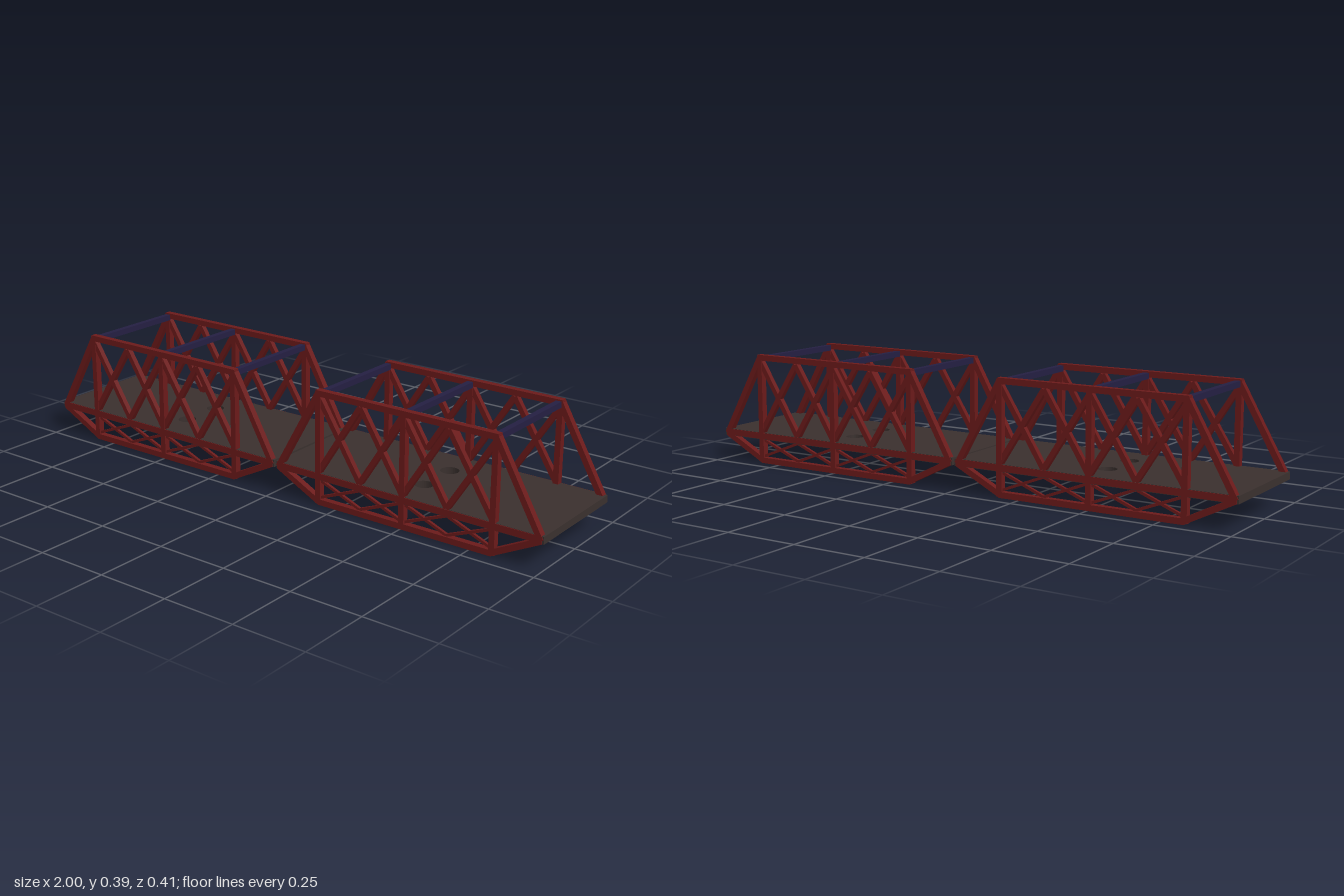
import * as THREE from 'three';

const red = new THREE.MeshStandardMaterial({ color: 0x6b1a1a });
const darkGrey = new THREE.MeshStandardMaterial({ color: 0x3a302e });
const indigo = new THREE.MeshStandardMaterial({ color: 0x241f42 });

const HALF = 0.4975;   // half length of one span
const POST = 0.325;    // outer posts, from the middle of the span
const TOP = 0.38, DECK = 0.098, LOW = 0.01;

// Square bar in the plane of a truss, between two [x, y] points
function bar(name, a, b, width = 0.02, depth = 0.022) {
  const dx = b[0] - a[0], dy = b[1] - a[1];
  const mesh = new THREE.Mesh(new THREE.BoxGeometry(Math.hypot(dx, dy), width, depth), red);
  mesh.position.set((a[0] + b[0]) / 2, (a[1] + b[1]) / 2, 0);
  mesh.rotation.z = Math.atan2(dy, dx);
  mesh.name = name;
  return mesh;
}

function createTruss() {
  const truss = new THREE.Group();
  truss.name = 'sideTruss';
  // Chords
  truss.add(
    bar('topChord', [-POST - 0.008, TOP], [POST + 0.008, TOP]),
    bar('deckChord', [-HALF + 0.006, DECK], [HALF - 0.006, DECK], 0.022),
    bar('bottomChord', [-POST, LOW], [POST, LOW]),
  );
  // Posts
  for (const x of [-POST, 0, POST]) truss.add(bar('post', [x, 0.004], [x, TOP + 0.006]));
  // Sloping ends
  for (const s of [-1, 1]) {
    truss.add(
      bar('endPost', [s * (HALF - 0.01), DECK - 0.004], [s * POST, TOP]),
      bar('lowerEndBrace', [s * (HALF - 0.01), DECK - 0.004], [s * (POST - 0.004), LOW]),
    );
  }
  // Crossed bracing above and below the deck, two crosses per panel
  const step = POST / 2;
  for (let i = -2; i < 2; i++) {
    const x0 = i * step, x1 = x0 + step;
    truss.add(
      bar('upperBrace', [x0, 0.112], [x1, 0.366], 0.018, 0.018),
      bar('upperBrace', [x0, 0.366], [x1, 0.112], 0.018, 0.018),
      bar('lowerBrace', [x0, 0.022], [x1, 0.086], 0.009, 0.01),
      bar('lowerBrace', [x0, 0.086], [x1, 0.022], 0.009, 0.01),
    );
  }
  return truss;
}

function createSpan() {
  const span = new THREE.Group();
  span.name = 'bridgeSpan';

  // Road deck with two round openings
  const outline = new THREE.Shape();
  outline.moveTo(-HALF, -0.2).lineTo(HALF, -0.2).lineTo(HALF, 0.2).lineTo(-HALF, 0.2).closePath();
  for (const z of [-0.075, 0.075]) {
    outline.holes.push(new THREE.Path().absarc(0, z, 0.031, 0, Math.PI * 2, true));
  }
  const geometry = new THREE.ExtrudeGeometry(outline, { depth: 0.025, bevelEnabled: false, curveSegments: 16 });
  geometry.rotateX(-Math.PI / 2);
  const deck = new THREE.Mesh(geometry, darkGrey);
  deck.name = 'deck';
  deck.position.y = 0.085;
  span.add(deck);

  // Trusses on both sides
  for (const s of [-1, 1]) {
    const truss = createTruss();
    truss.position.z = s * 0.192;
    span.add(truss);
  }

  // Cross struts joining the tops
  for (const x of [-0.32, 0, 0.32]) {
    const strut = new THREE.Mesh(new THREE.BoxGeometry(0.02, 0.02, 0.362), indigo);
    strut.name = 'crossStrut';
    strut.position.set(x, 0.375, 0);
    span.add(strut);
  }
  return span;
}

export function createModel() {
  const model = new THREE.Group();
  model.name = 'trussBridge';
  for (const s of [-1, 1]) {
    const span = createSpan();
    span.position.x = s * 0.5025;
    model.add(span);
  }
  return model;
}
